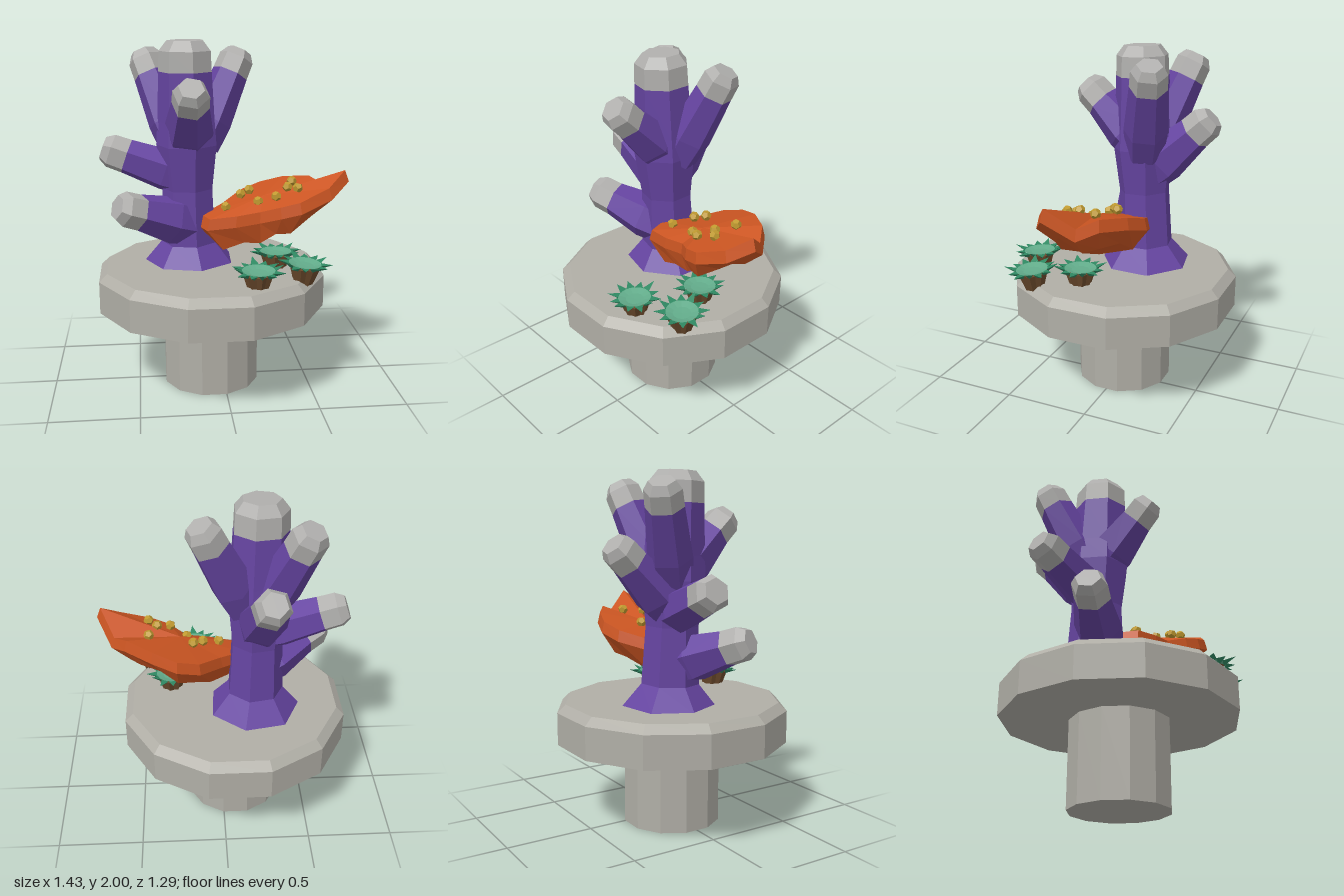
import * as THREE from 'three';

const mat = (name, color, double) => {
  const m = new THREE.MeshStandardMaterial({ color, flatShading: true });
  m.name = name;
  if (double) m.side = THREE.DoubleSide;
  return m;
};

export function createModel() {
  const stone = mat('stone grey', 0xb0aea6);
  const tipGrey = mat('tip grey', 0xb0afad);
  const purple = mat('coral purple', 0x6544a0);
  const orange = mat('shelf orange', 0xcb5522);
  const gold = mat('nodule gold', 0xc09a30);
  const brown = mat('stalk brown', 0x6b4a2c);
  const teal = mat('tentacle green', 0x2f8862, true);
  const mint = mat('mouth green', 0x62ab8a, true);

  const root = new THREE.Group();
  root.name = 'coralOnPedestal';
  const V = (a) => new THREE.Vector3(...a);
  const add = (parent, name, geo, material) => {
    const m = new THREE.Mesh(geo, material);
    m.name = name;
    parent.add(m);
    return m;
  };
  const lathe = (pts, sides) =>
    new THREE.LatheGeometry(pts.map(([r, y]) => new THREE.Vector2(r, y)), sides);

  // Pedestal: twelve-sided stem and bevelled plate
  const pedestal = new THREE.Group();
  pedestal.name = 'pedestal';
  pedestal.position.x = -0.07;
  pedestal.rotation.y = Math.PI / 12;
  root.add(pedestal);
  add(pedestal, 'stem', lathe([[0, 0], [0.282, 0], [0.282, 0.49]], 12), stone);
  add(pedestal, 'plate', lathe([[0, 0.49], [0.667, 0.49], [0.667, 0.675], [0.62, 0.72], [0, 0.72]], 12), stone);

  // A faceted limb from a to b, with a bevelled grey tip of length tipLen
  function limb(name, a, b, profile, r, tipLen, sides, spin = 0) {
    const g = new THREE.Group();
    g.name = name;
    const start = V(a), dir = V(b).sub(start), len = dir.length();
    g.position.copy(start);
    g.quaternion.setFromUnitVectors(new THREE.Vector3(0, 1, 0), dir.normalize());
    const body = profile.map(([rad, t]) => [rad, t * (len - tipLen)]);
    const cut = len - tipLen;
    add(g, name + 'Body', lathe([...body, [r, cut]], sides).rotateY(spin), purple);
    add(g, name + 'Tip', lathe([[r, cut], [r * 0.97, len - tipLen * 0.33], [r * 0.68, len], [0, len]], sides).rotateY(spin), tipGrey);
    root.add(g);
  }

  // Trunk with flared foot
  limb('trunk', [-0.185, 0.715, -0.09], [-0.2, 2, -0.05],
    [[0.27, 0], [0.165, 0.11], [0.15, 0.4], [0.18, 0.63], [0.17, 0.75]], 0.156, 0.17, 7, 0.2);

  // Branches: name, root, end, root radius, end radius
  [
    ['frontBranch', [-0.19, 1.43, -0.06], [-0.19, 1.765, 0.3], 0.14, 0.105],
    ['leftUpperBranch', [-0.12, 1.4, -0.1], [0.125, 1.935, -0.225], 0.125, 0.105],
    ['rightUpperBranch', [-0.24, 1.4, -0.1], [-0.44, 1.93, -0.295], 0.125, 0.105],
    ['backBranch', [-0.2, 1.25, -0.08], [-0.24, 1.615, -0.465], 0.14, 0.105],
    ['rightMiddleBranch', [-0.2, 1.22, -0.08], [-0.68, 1.39, -0.125], 0.125, 0.105],
    ['rightLowerBranch', [-0.2, 0.95, -0.04], [-0.6, 1.105, 0.16], 0.14, 0.105],
  ].forEach(([name, a, b, r0, r1]) =>
    limb(name, a, b, [[r0 * 0.9, 0], [r0, 0.35]], r1, 0.145, 6, 0.3));

  // Shelf fungus: rim points (x, top height, z), closed to a centre above and below
  const rim = [
    [0.715, 1.285, 0.12], [0.63, 1.17, -0.03], [0.55, 1.21, -0.13], [0.4, 1.19, -0.23],
    [0.26, 1.15, -0.275], [0.13, 1.11, -0.24], [0.0, 1.06, -0.1], [-0.14, 1.02, 0.02],
    [-0.1, 1.02, 0.14], [0.06, 1.04, 0.165], [0.2, 1.06, 0.16], [0.31, 1.1, 0.23],
    [0.42, 1.13, 0.255], [0.6, 1.2, 0.21],
  ];
  const cx = 0.24, cz = 0.02, n = rim.length;
  const ring = (s, drop) => rim.map(([x, y, z], i) =>
    [cx + (x - cx) * s, y - drop + (drop > 0.1 ? (i % 2 ? 0.015 : -0.01) : 0), cz + (z - cz) * s]);
  const rings = [ring(0.72, 0.185), ring(1, 0.07), ring(0.95, 0.005)];
  const low = [cx, 0.885, cz], high = [cx, 1.125, cz + 0.01];
  const tris = [];
  for (let i = 0; i < n; i++) {
    const j = (i + 1) % n;
    tris.push(low, rings[0][j], rings[0][i], high, rings[2][i], rings[2][j]);
    for (let k = 0; k < 2; k++) {
      const a = rings[k], b = rings[k + 1];
      tris.push(a[i], a[j], b[i], a[j], b[j], b[i]);
    }
  }
  const shelfGeo = new THREE.BufferGeometry();
  shelfGeo.setAttribute('position', new THREE.Float32BufferAttribute(tris.flat(), 3));
  shelfGeo.computeVertexNormals();
  add(root, 'shelf', shelfGeo, orange);

  // Gold nodules on the shelf
  [
    [0.015, 1.07, 0.06], [0.11, 1.125, -0.02], [0.165, 1.14, -0.06], [0.2, 1.1, 0.075],
    [0.295, 1.14, 0.13], [0.42, 1.185, 0.12], [0.37, 1.18, 0.07], [0.415, 1.19, -0.045],
  ].forEach((p, i) => {
    const m = add(root, 'nodule', new THREE.DodecahedronGeometry(0.03), gold);
    m.position.set(...p);
    m.rotation.set(i * 0.7, i * 1.3, 0.2);
  });

  // Anemones: fluted stalk, dished mouth and a ring of pointed tentacles
  function anemone(x, z, tiltX, tiltZ, spin) {
    const g = new THREE.Group();
    g.name = 'anemone';
    g.position.set(x, 0.7, z);
    g.rotation.set(tiltX, spin, tiltZ);
    const stalk = new THREE.CylinderGeometry(0.088, 0.055, 0.1, 16, 1);
    const p = stalk.attributes.position;
    for (let i = 0; i < p.count; i++) {
      const k = Math.round(Math.atan2(p.getX(i), p.getZ(i)) / (Math.PI / 8));
      const s = Math.abs(k) % 2 ? 0.84 : 1;
      p.setX(i, p.getX(i) * s);
      p.setZ(i, p.getZ(i) * s);
    }
    add(g, 'stalk', stalk, brown).position.y = 0.045;
    add(g, 'mouth', lathe([[0, 0.098], [0.05, 0.1], [0.092, 0.112]], 12), mint);
    const pts = [];
    const at = (r, y, a) => [r * Math.sin(a), y, r * Math.cos(a)];
    for (let i = 0; i < 12; i++) {
      const a = (i / 12) * Math.PI * 2, h = Math.PI / 12;
      const tip = at(i % 2 ? 0.14 : 0.155, i % 3 ? 0.115 : 0.135, a);
      const l = at(0.092, 0.112, a - h), r = at(0.092, 0.112, a + h), under = at(0.08, 0.085, a);
      pts.push(l, tip, r, l, under, tip, under, r, tip);
    }
    const geo = new THREE.BufferGeometry();
    geo.setAttribute('position', new THREE.Float32BufferAttribute(pts.flat(), 3));
    geo.computeVertexNormals();
    // Keep the upper faces pointing up
    const q = geo.attributes.position;
    for (let i = 0; i < q.count; i += 3) {
      if (i % 9 === 0 && geo.attributes.normal.getY(i) < 0) {
        const b = [q.getX(i + 1), q.getY(i + 1), q.getZ(i + 1)];
        q.setXYZ(i + 1, q.getX(i + 2), q.getY(i + 2), q.getZ(i + 2));
        q.setXYZ(i + 2, ...b);
      }
    }
    geo.computeVertexNormals();
    add(g, 'tentacles', geo, teal);
    root.add(g);
  }
  anemone(0.15, 0.45, 0.06, 0, 0.1);
  anemone(0.415, 0.345, 0.1, -0.08, 0.35);
  anemone(0.3, 0.11, 0, 0, 0.6);

  return root;
}
